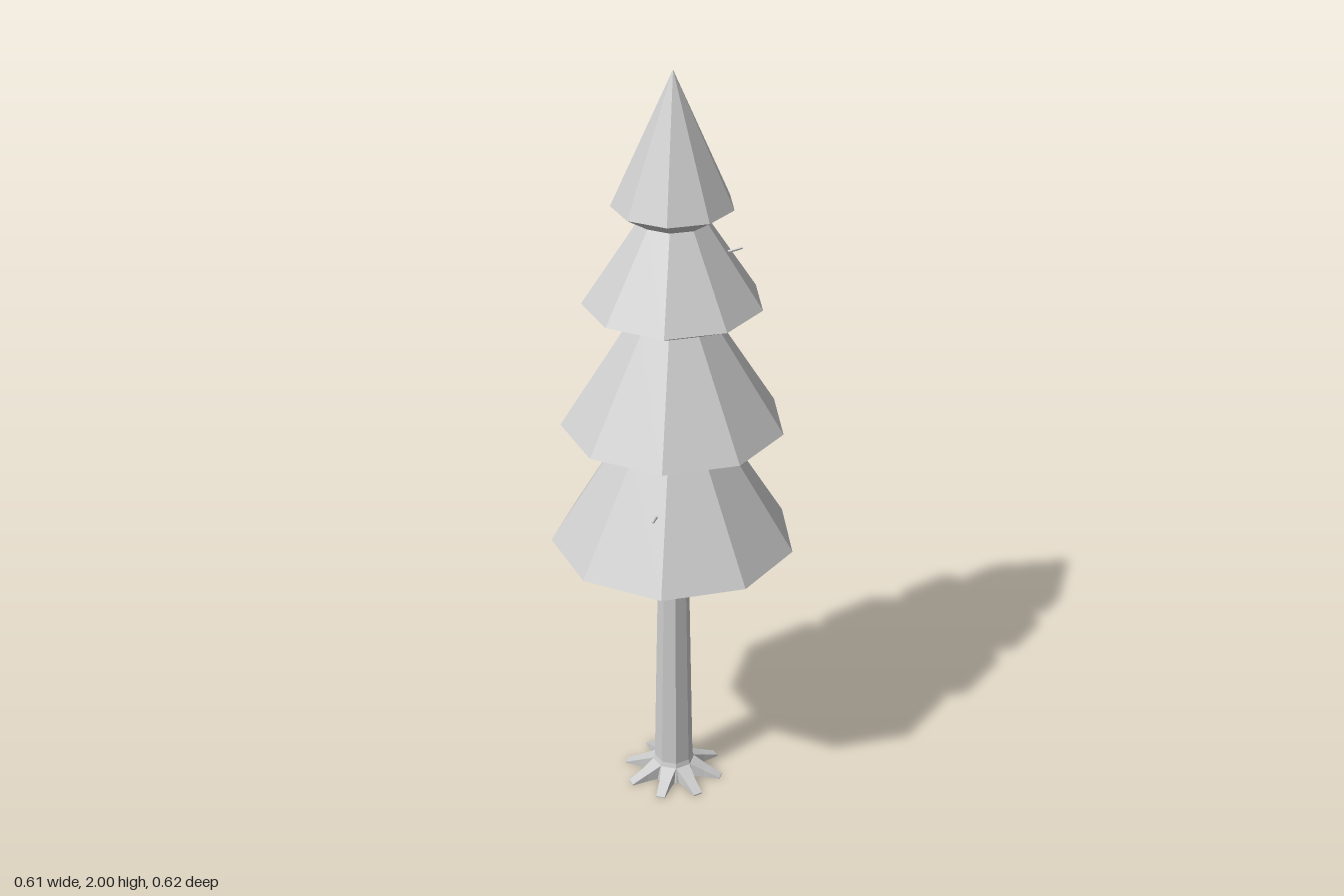
import * as THREE from 'three';

export function createModel() {
  const tree = new THREE.Group();
  tree.name = 'pineTree';
  const grey = new THREE.MeshStandardMaterial({ color: 0xcccccc, flatShading: true });
  grey.name = 'paleGrey';

  const add = (name, geometry, parent = tree) => {
    const mesh = new THREE.Mesh(geometry, grey);
    mesh.name = name;
    parent.add(mesh);
    return mesh;
  };
  const lathe = (points, sides, start) => new THREE.LatheGeometry(
    points.map(([r, y]) => new THREE.Vector2(r, y)), sides, start);

  // Four stacked nine-sided skirts, from the underside up to the tip
  add('foliage', lathe([
    [0, 0.67], [0.04, 0.675], [0.315, 0.755], [0.14, 1.04], [0.283, 1.09], [0.11, 1.365],
    [0.224, 1.42], [0.085, 1.63], [0.15, 1.67], [0, 2],
  ], 9, Math.PI / 2));

  // Tapered trunk with a slight flare at the ground
  add('trunk', lathe([
    [0, 0], [0.066, 0], [0.06, 0.03], [0.052, 0.055], [0.04, 0.69], [0, 0.69],
  ], 8, Math.PI / 8));

  // Root: a box narrowed and lowered towards its outer end
  const rootGeometry = new THREE.BoxGeometry(1, 1, 1, 2, 1, 1);
  const sections = [[0.035, 0.05, 0.046], [0.09, 0.023, 0.03], [0.134, 0.004, 0.024]];
  const p = rootGeometry.attributes.position;
  for (let i = 0; i < p.count; i++) {
    const [x, height, width] = sections[Math.round((p.getX(i) + 0.5) * 2)];
    p.setXYZ(i, x, p.getY(i) > 0 ? height : 0, p.getZ(i) * width);
  }
  const roots = new THREE.Group();
  roots.name = 'roots';
  tree.add(roots);
  for (let i = 0; i < 8; i++) add('root', rootGeometry, roots).rotation.y = i * Math.PI / 4;

  // Thin twigs poking out of the foliage, each from an inner point to its tip
  const twigs = new THREE.Group();
  twigs.name = 'twigs';
  tree.add(twigs);
  const up = new THREE.Vector3(0, 1, 0);
  [
    [[0.03, 1.515, -0.01], [0.157, 1.553, -0.057]],
    [[-0.02, 1.305, -0.04], [-0.078, 1.345, -0.16]],
    [[0.04, 0.985, -0.05], [0.145, 1.033, -0.182]],
    [[0.01, 0.915, 0.08], [0.013, 0.928, 0.235]],
    [[0.02, 0.675, 0], [0.23, 0.722, 0]],
  ].forEach(([a, b]) => {
    const from = new THREE.Vector3(...a);
    const along = new THREE.Vector3(...b).sub(from);
    const twig = add('twig', new THREE.CylinderGeometry(0.003, 0.008, along.length(), 5), twigs);
    twig.position.copy(from).addScaledVector(along, 0.5);
    twig.quaternion.setFromUnitVectors(up, along.normalize());
  });

  tree.position.x = -0.01;
  const model = new THREE.Group();
  model.name = 'model';
  model.add(tree);
  return model;
}
